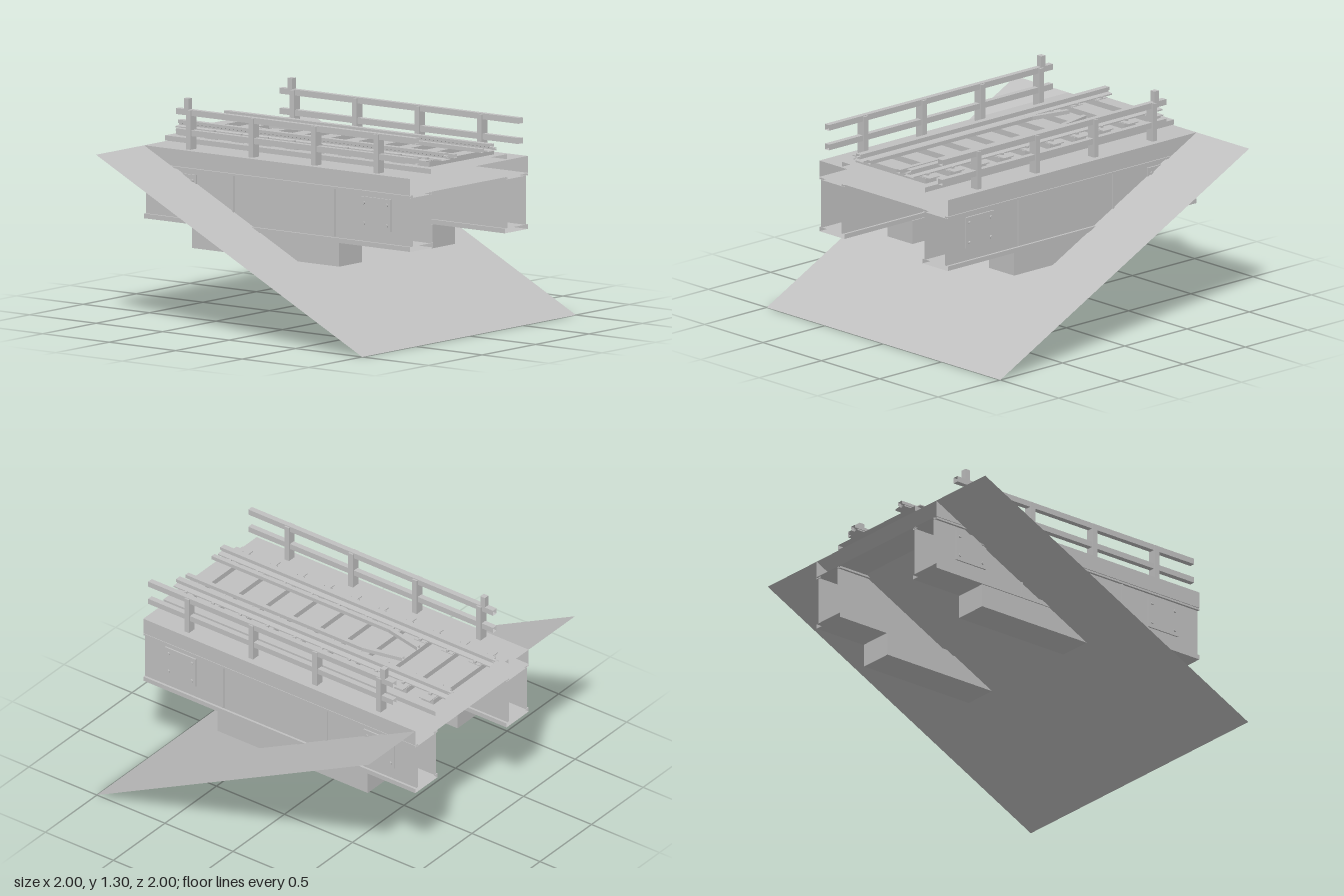
import * as THREE from 'three';

export function createModel() {
  const root = new THREE.Group();
  root.name = 'railwayBridge';
  const grey = new THREE.MeshStandardMaterial({ color: 0xc0c0c0, side: THREE.DoubleSide });
  grey.name = 'plain grey';

  const add = (name, geometry, parent = root) => {
    const mesh = new THREE.Mesh(geometry, grey);
    mesh.name = name;
    parent.add(mesh);
    return mesh;
  };
  const group = (name) => {
    const g = new THREE.Group();
    g.name = name;
    root.add(g);
    return g;
  };
  // Box from its limits
  const box = (name, x0, x1, y0, y1, z0, z1, parent) =>
    add(name, new THREE.BoxGeometry(x1 - x0, y1 - y0, z1 - z0)
      .translate((x0 + x1) / 2, (y0 + y1) / 2, (z0 + z1) / 2), parent);

  // Counter-clockwise [x, y] outline swept along z, with open ends.
  // Each station is [z, x offset].
  const sweep = (name, outline, stations, parent) => {
    const p = [];
    for (let s = 0; s < stations.length - 1; s++) {
      const [za, xa] = stations[s], [zb, xb] = stations[s + 1];
      outline.forEach(([x, y], i) => {
        const [u, v] = outline[(i + 1) % outline.length];
        const a = [x + xa, y, za], b = [u + xa, v, za];
        const c = [u + xb, v, zb], d = [x + xb, y, zb];
        p.push(...b, ...a, ...d, ...b, ...d, ...c);
      });
    }
    const g = new THREE.BufferGeometry();
    g.setAttribute('position', new THREE.Float32BufferAttribute(p, 3));
    g.computeVertexNormals();
    return add(name, g, parent);
  };
  const rect = (x0, x1, y0, y1) => [[x0, y0], [x1, y0], [x1, y1], [x0, y1]];
  const full = [[-1, 0], [1, 0]];

  // Sloping ground sheet, low at the front and high at the back
  const ground = new THREE.PlaneGeometry(2, Math.sqrt(5));
  ground.rotateX(-Math.PI / 2 + Math.atan(0.5)).translate(0, 0.5, 0);
  add('slopingGround', ground);

  // Deck and track bed
  sweep('deck', rect(-0.55, 0.55, 0.9, 1), full);
  sweep('trackBed', rect(-0.355, 0.355, 1.005, 1.035), full);

  // Rail section: wide foot, thin web, head
  const half = [[0.042, 1.07], [0.042, 1.078], [0.008, 1.082], [0.008, 1.092], [0.019, 1.095], [0.019, 1.113]];
  const railOutline = [...half, ...half.map(([x, y]) => [-x, y]).reverse()];

  for (const s of [1, -1]) {
    const side = group(s > 0 ? 'leftSide' : 'rightSide');
    const span = (a, b) => (s > 0 ? [a, b] : [-b, -a]);

    // Box girder, its stiffeners and bearing block
    sweep('girderOuterWeb', rect(...span(0.525, 0.535), 0.595, 0.9), full, side);
    sweep('girderInnerWeb', rect(...span(0.35, 0.36), 0.595, 0.9), full, side);
    sweep('girderBottomFlange', rect(...span(0.335, 0.55), 0.567, 0.595), full, side);
    sweep('girderTopFlange', rect(...span(0.335, 0.55), 0.885, 0.897), full, side);
    box('bearingBlock', ...span(0.328, 0.543), 0.425, 0.567, -0.645, 0.46, side);
    for (const z of [0.42, -0.34]) {
      box('webStiffener', ...span(0.533, 0.543), 0.6, 0.885, z - 0.005, z + 0.005, side);
    }

    // Bolted splice plates
    for (const z of [0.733, -0.728]) {
      box('splicePlate', ...span(0.535, 0.544), 0.67, 0.86, z - 0.113, z + 0.113, side);
      for (const dz of [-0.086, 0.086]) for (const y of [0.703, 0.825]) {
        add('plateBolt', new THREE.CylinderGeometry(0.01, 0.01, 0.01, 8)
          .rotateZ(Math.PI / 2).translate(s * 0.547, y, z + dz), side);
      }
    }

    // Handrail
    for (const z of [0.71, 0.24, -0.23, -0.7]) {
      box('handrailPost', ...span(0.457, 0.512), 0.99, 1.23, z - 0.017, z + 0.017, side);
    }
    for (const y of [1.2, 1.08]) {
      sweep('handrailBar', rect(...span(0.468, 0.503), y, y + 0.035), [[-0.8, 0], [1, 0]], side);
    }
    box('endPostTop', ...span(0.468, 0.503), 1.235, 1.3, -0.74, -0.706, side);

    // Running rail and inner guard rail, which bends inwards at the back
    sweep('runningRail', railOutline, [[-1, s * 0.215], [1, s * 0.215]], side);
    sweep('guardRail', rect(-0.014, 0.014, 1.072, 1.095),
      [[-0.55, s * 0.073], [-0.3, s * 0.126], [1, s * 0.126]], side);
  }

  // Sleepers with rail plates and fixing bolts
  const sleepers = group('sleepers');
  for (let i = 0; i < 10; i++) {
    const z = -0.9 + i * 0.2;
    box('sleeper', -0.3, 0.3, 1.03, 1.068, z - 0.045, z + 0.045, sleepers);
    for (const s of [1, -1]) {
      const plate = box('railPlate', -0.09, 0.09, 1.066, 1.072, z - 0.04, z + 0.04, sleepers);
      plate.position.x = s * 0.24;
      for (const x of [0.16, 0.27]) {
        box('railBolt', s * x - 0.008, s * x + 0.008, 1.07, 1.084, z - 0.008, z + 0.008, sleepers);
      }
    }
  }
  return root;
}
